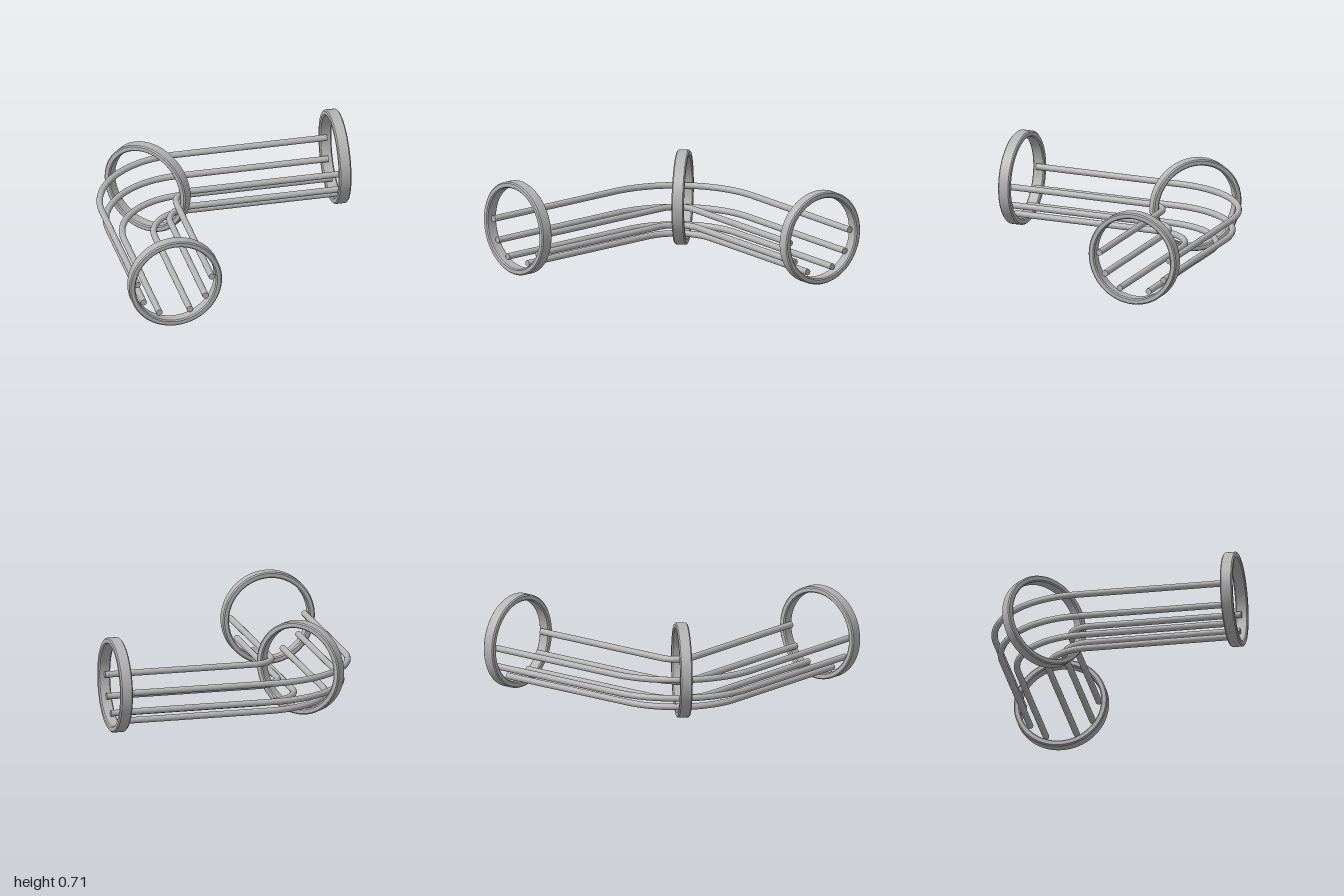
import * as THREE from 'three';
import { toCreasedNormals } from 'three/addons/utils/BufferGeometryUtils.js';

const END = 0.957;      // where rods stop, inside the end rings
const BEND = -0.2;      // x and z of the bend centre
const MID = -0.647;     // centreline offset of each straight run
const CY = 0.355;       // height of the centreline
const ROD_R = 0.024;

// Straight run, quarter bend, straight run, parametrised by length
class BentPath extends THREE.Curve {
  constructor(radius, y) {
    super();
    this.radius = radius;
    this.y = y;
  }
  getPoint(t, target = new THREE.Vector3()) {
    const r = this.radius, run = END - BEND, arc = r * Math.PI / 2;
    const s = t * (2 * run + arc);
    if (s < run) return target.set(BEND - r, this.y, END - s);
    if (s > run + arc) return target.set(BEND + s - run - arc, this.y, BEND - r);
    const a = (s - run) / r;
    return target.set(BEND - r * Math.cos(a), this.y, BEND - r * Math.sin(a));
  }
}

// Flat band with chamfered edges, its axis along z
function ringGeometry() {
  const R = 0.354, r = 0.308, h = 0.046, b = 0.009;
  const profile = [
    [R - b, -h], [R, -h + b], [R, h - b], [R - b, h],
    [r + b, h], [r, h - b], [r, -h + b], [r + b, -h], [R - b, -h],
  ].map(([x, y]) => new THREE.Vector2(x, y));
  const geo = new THREE.LatheGeometry(profile, 72).rotateX(Math.PI / 2);
  return toCreasedNormals(geo, 0.5);
}

export function createModel() {
  const model = new THREE.Group();
  model.name = 'curvedTray';
  const metal = new THREE.MeshStandardMaterial({ color: 0xb4b4b4 });
  metal.name = 'greyMetal';

  const add = (name, geo, x, y, z, turn = 0, parent = model) => {
    const mesh = new THREE.Mesh(geo, metal);
    mesh.name = name;
    mesh.position.set(x, y, z);
    mesh.rotation.y = turn;
    parent.add(mesh);
  };

  // Support rings at both ends and across the bend
  const ring = ringGeometry();
  add('frontRing', ring, MID, CY, 0.954);
  add('bendRing', ring, -0.511, CY, -0.511, Math.PI / 4 + Math.PI / 2 - Math.PI / 2 * 2 + Math.PI);
  add('sideRing', ring, 0.954, CY, MID, Math.PI / 2);

  // Three pairs of rods cradled in the lower half of the rings
  const cap = new THREE.CircleGeometry(ROD_R, 16);
  for (const [offset, y] of [[0.284, 0.36], [0.237, 0.205], [0.117, 0.105]]) {
    for (const side of [-1, 1]) {
      const radius = BEND - MID + side * offset;
      const rod = new THREE.Group();
      rod.name = side > 0 ? 'outerRod' : 'innerRod';
      model.add(rod);
      add('rodTube', new THREE.TubeGeometry(new BentPath(radius, y), 110, ROD_R, 16), 0, 0, 0, 0, rod);
      add('rodFrontCap', cap, BEND - radius, y, END, 0, rod);
      add('rodSideCap', cap, END, y, BEND - radius, Math.PI / 2, rod);
    }
  }
  return model;
}
